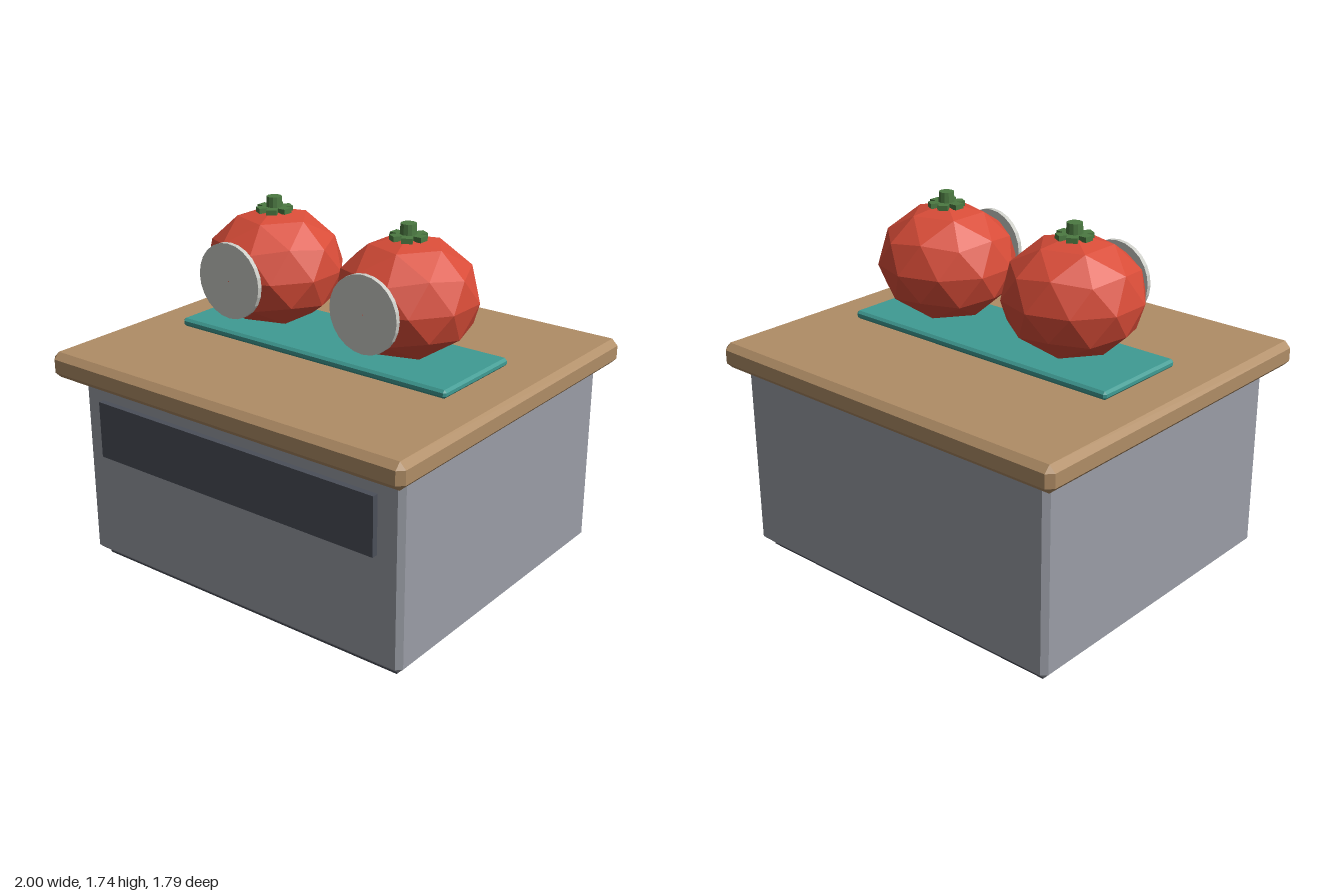
import * as THREE from 'three';
import { ConvexGeometry } from 'three/addons/geometries/ConvexGeometry.js';

function material(name, color) {
  const m = new THREE.MeshStandardMaterial({ color, flatShading: true });
  m.name = name;
  return m;
}

// Box with every edge chamfered by c, given by its min and max corners
function chamferedBox(min, max, c) {
  const half = min.map((v, i) => (max[i] - v) / 2);
  const mid = min.map((v, i) => (max[i] + v) / 2);
  const points = [];
  for (const sx of [-1, 1]) for (const sy of [-1, 1]) for (const sz of [-1, 1]) {
    for (let axis = 0; axis < 3; axis++) {
      const p = [sx, sy, sz].map((s, i) => mid[i] + s * (half[i] - (i === axis ? 0 : c)));
      points.push(new THREE.Vector3(...p));
    }
  }
  return new ConvexGeometry(points);
}

function box(min, max) {
  const g = new THREE.BoxGeometry(...min.map((v, i) => max[i] - v));
  return g.translate(...min.map((v, i) => (v + max[i]) / 2));
}

export function createModel() {
  const wood = material('wood', 0xb08d66);
  const grey = material('cabinet grey', 0x9a9da6);
  const dark = material('dark grey', 0x4b4f59);
  const teal = material('teal', 0x3f9b93);
  const red = material('tomato red', 0xd84c38);
  const green = material('leaf green', 0x4c7a42);
  const pale = material('pale grey', 0xcbccc6);

  const model = new THREE.Group();
  model.name = 'counterWithTomatoes';
  const add = (parent, name, geometry, mat) => {
    const mesh = new THREE.Mesh(geometry, mat);
    mesh.name = name;
    parent.add(mesh);
    return mesh;
  };

  // Cabinet
  add(model, 'plinth', box([-0.87, 0, -0.77], [0.87, 0.05, 0.72]), dark);
  add(model, 'cabinet', chamferedBox([-0.92, 0.03, -0.82], [0.92, 0.958, 0.77], 0.025), grey);
  add(model, 'frontPanel', box([-0.795, 0.57, 0.76], [0.795, 0.85, 0.8]), dark);
  add(model, 'countertop', chamferedBox([-1, 0.955, -0.897], [1, 1.08, 0.897], 0.03), wood);
  add(model, 'mat', chamferedBox([-0.767, 1.08, -0.255], [0.767, 1.12, 0.255], 0.012), teal);

  // Faceted fruit with one corner pointing up
  const golden = (1 + Math.sqrt(5)) / 2;
  const fruit = new THREE.IcosahedronGeometry(0.333, 1)
    .rotateZ(Math.atan(1 / golden)).rotateY(Math.PI).scale(1, 0.845, 1);
  const disc = new THREE.CylinderGeometry(0.18, 0.18, 0.023, 24)
    .rotateX(Math.PI / 2).translate(0, 0, 0.3205);
  const leaf = new THREE.BoxGeometry(0.166, 0.024, 0.05);
  const stem = new THREE.CylinderGeometry(0.036, 0.04, 0.075, 12).translate(0, 0.297, 0);

  for (const side of [-1, 1]) {
    const tomato = new THREE.Group();
    tomato.name = side > 0 ? 'leftTomato' : 'rightTomato';
    tomato.position.set(side * 0.384, 1.401, 0);
    add(tomato, 'fruit', fruit, red);
    add(tomato, 'frontDisc', disc, pale);
    add(tomato, 'stem', stem, green);
    // Three crossed strips make six leaves
    for (let i = 0; i < 3; i++) {
      const strip = add(tomato, 'leafPair', leaf, green);
      strip.position.y = 0.274;
      strip.rotation.y = i * Math.PI / 3;
    }
    model.add(tomato);
  }
  return model;
}
